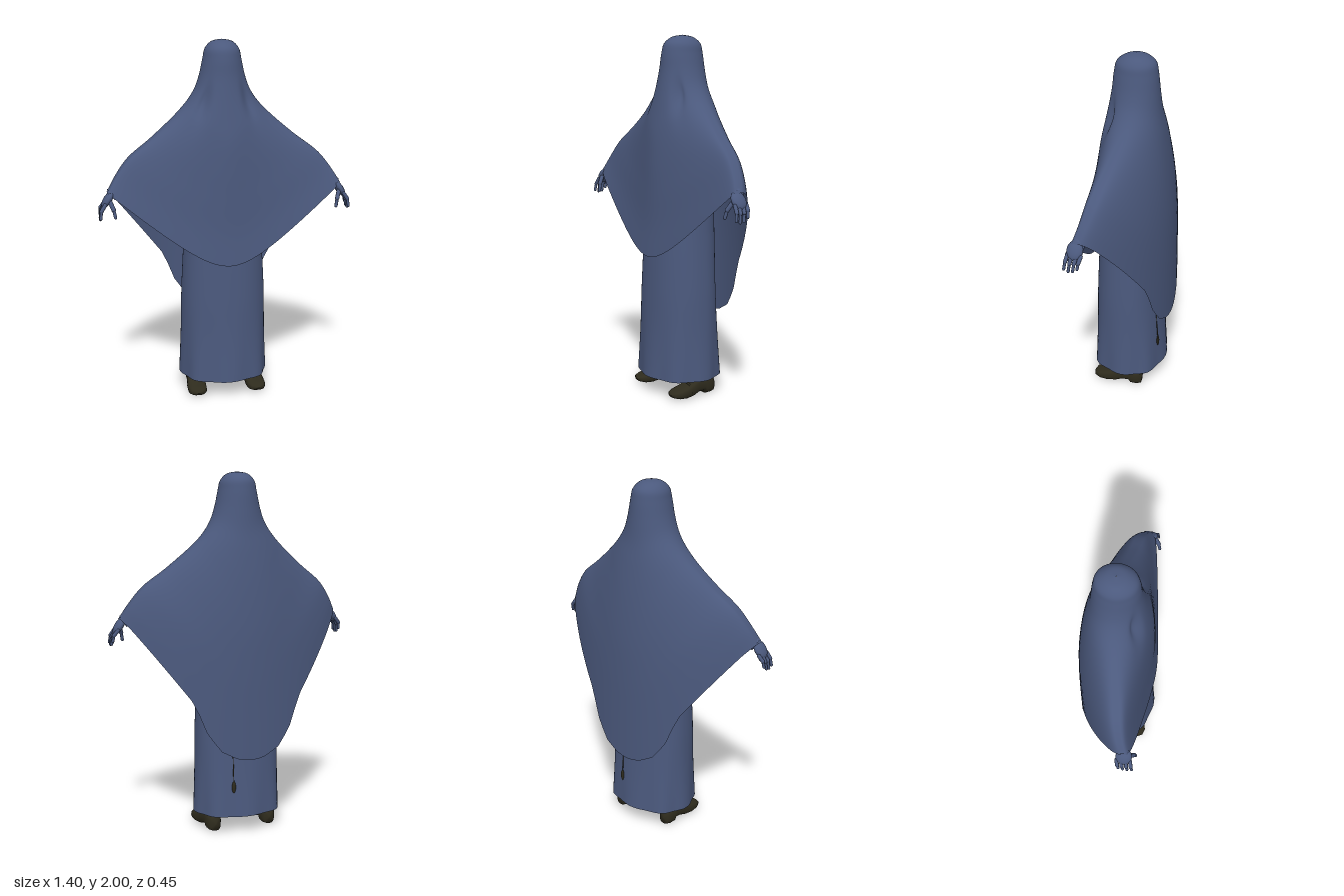
import * as THREE from 'three';

const V = (x, y, z) => new THREE.Vector3(x, y, z);
const spow = (v, e) => Math.sign(v) * Math.abs(v) ** e;
const { lerp, smoothstep } = THREE.MathUtils;

// Skin over closed rings of points, smooth normals
function loft(rows) {
  const n = rows[0].length, pos = [], idx = [];
  rows.forEach(r => r.forEach(p => pos.push(p.x, p.y, p.z)));
  for (let i = 0; i < rows.length - 1; i++) {
    for (let j = 0; j < n; j++) {
      const k = (j + 1) % n, a = i * n + j, b = a + n, c = i * n + k, d = c + n;
      idx.push(a, b, c, c, b, d);
    }
  }
  const g = new THREE.BufferGeometry();
  g.setAttribute('position', new THREE.Float32BufferAttribute(pos, 3));
  g.setIndex(idx);
  g.computeVertexNormals();
  return g;
}

const ring = (n, f) => Array.from({ length: n }, (_, j) => f(j / n * Math.PI * 2));

// Smooth curve through three chosen columns of a table
function sampler(table, cols) {
  const c = new THREE.CatmullRomCurve3(table.map(r => V(...cols.map(k => r[k]))));
  return t => c.getPoint(t);
}

// Straight-line lookup in a list of [x, y] pairs
function lookup(list, x) {
  const i = Math.max(1, list.findIndex(p => p[0] >= x - 1e-6));
  const [a, b] = [list[i - 1], list[i]];
  return lerp(a[1], b[1], (x - a[0]) / (b[0] - a[0]));
}

// Shoulder ridge x, y, z | front centre y, z | back centre y, z
const CAPE = [
  [0.001, 2.0, -0.015, 2.0, -0.014, 2.0, -0.016],
  [0.058, 1.987, -0.015, 1.988, 0.045, 1.988, -0.075],
  [0.092, 1.95, -0.015, 1.955, 0.09, 1.955, -0.118],
  [0.104, 1.9, -0.015, 1.9, 0.105, 1.9, -0.13],
  [0.124, 1.81, -0.015, 1.81, 0.115, 1.8, -0.14],
  [0.149, 1.74, -0.015, 1.71, 0.132, 1.69, -0.152],
  [0.19, 1.675, -0.015, 1.6, 0.153, 1.56, -0.175],
  [0.255, 1.605, -0.01, 1.47, 0.177, 1.38, -0.2],
  [0.4, 1.48, 0.01, 1.31, 0.19, 1.14, -0.22],
  [0.53, 1.38, 0.03, 1.15, 0.196, 0.92, -0.225],
  [0.605, 1.285, 0.055, 0.97, 0.203, 0.68, -0.225],
  [0.65, 1.21, 0.08, 0.79, 0.22, 0.43, -0.225],
];

// Rise of the back hem from the centre to the wrist
const BACK_HEM = [[0, 0], [0.11, 0.01], [0.27, 0.08], [0.385, 0.22], [0.477, 0.42], [0.93, 0.93], [1, 1]];

function capeGeometry() {
  const ridge = sampler(CAPE, [0, 1, 2]), front = sampler(CAPE, [0, 3, 4]), back = sampler(CAPE, [0, 5, 6]);
  const rows = [];
  for (let i = 0; i <= 55; i++) {
    const t = i / 55, R = ridge(t), F = front(t), B = back(t), level = t * 11;
    const spread = smoothstep(level, 6, 9), hem = smoothstep(level, 8, 11);
    rows.push(ring(96, a => {
      const q = Math.abs(Math.sin(a)), c = Math.abs(Math.cos(a));
      const isFront = Math.cos(a) >= 0, C = isFront ? F : B;
      // rounded V from the centre up to the wrist
      let rise = (Math.hypot(q, 0.3) - 0.3) / (Math.hypot(1, 0.3) - 0.3);
      if (!isFront) rise = lerp(rise, lookup(BACK_HEM, q), hem);
      // round at the hood, drawn out flat between the hands
      const flat = isFront
        ? (1 - 0.58 * (Math.hypot(q, 0.15) - 0.15)) * c ** 0.3
        : 0.5 * c + 0.35 * (1 - q * q) + 0.15 * (1 - q * q * q * q) * (1 - q);
      let z = lerp(R.z, C.z, lerp(c, isFront ? flat : flat + 0.15 * q * (1 - q), spread));
      // folds where the hood meets the shoulders
      if (isFront) z -= 0.028 * Math.exp(-(((q - 0.68) / 0.13) ** 2) - ((level - 5.7) / 1.0) ** 2);
      return V(R.x * Math.sin(a), lerp(C.y, R.y, rise), z);
    }));
  }
  return loft(rows);
}

// Height, half width, front z, back z
const ROBE = [
  [1.6, 0.03, 0.0, -0.03], [1.55, 0.13, 0.08, -0.1], [1.4, 0.18, 0.13, -0.15], [1.1, 0.21, 0.165, -0.16],
  [0.9, 0.22, 0.185, -0.165], [0.6, 0.236, 0.2, -0.165], [0.35, 0.243, 0.21, -0.18], [0.1, 0.255, 0.227, -0.2],
];

function robeGeometry() {
  const body = sampler(ROBE, [0, 1, 2]), rear = sampler(ROBE, [0, 1, 3]);
  const rows = [];
  for (let i = 0; i <= 35; i++) {
    const p = body(i / 35), zb = rear(i / 35).z, y = p.x;
    const fold = 0.05 * Math.max(0, (0.6 - y) / 0.5) ** 1.5;
    rows.push(ring(72, a => {
      const s = spow(Math.sin(a), 0.9), c = spow(Math.cos(a), 0.9);
      const k = 1 - fold * (0.5 - 0.5 * Math.cos(8 * a));
      return V(p.y * s * k, y, (c > 0 ? p.z * c : -zb * c) * k);
    }));
  }
  return loft(rows);
}

// Along the foot: z, half width, bottom, top
const SHOE = [
  [-0.105, 0.0001, 0.04, 0.0402], [-0.1, 0.03, 0.004, 0.085], [-0.075, 0.042, 0.0, 0.1], [-0.04, 0.043, 0.0, 0.106],
  [-0.03, 0.042, 0.018, 0.107], [0.01, 0.044, 0.018, 0.103], [0.05, 0.05, 0.004, 0.088], [0.1, 0.054, 0.0, 0.068],
  [0.145, 0.052, 0.005, 0.056], [0.175, 0.038, 0.014, 0.048], [0.188, 0.0001, 0.03, 0.0302],
];

const shoeGeometry = () => loft(SHOE.map(([z, w, lo, hi]) => ring(20, a =>
  V(w * spow(Math.sin(a), 0.7), (lo + hi) / 2 + (hi - lo) / 2 * spow(Math.cos(a), 0.7), z))));

export function createModel() {
  const model = new THREE.Group();
  const cloth = new THREE.MeshStandardMaterial({ color: 0x4b597d, side: THREE.DoubleSide });
  cloth.name = 'blueCloth';
  const leather = new THREE.MeshStandardMaterial({ color: 0x2e2b1d });
  leather.name = 'darkLeather';

  const add = (name, geo, mat, parent = model) => {
    const m = new THREE.Mesh(geo, mat);
    m.name = name;
    parent.add(m);
    return m;
  };
  // Rounded rod between two points
  const rod = (name, a, b, r, mat, parent) => {
    const d = b.clone().sub(a);
    const m = add(name, new THREE.CapsuleGeometry(r, d.length(), 4, 10), mat, parent);
    m.position.copy(a).lerp(b, 0.5);
    m.quaternion.setFromUnitVectors(V(0, 1, 0), d.normalize());
  };

  add('cape', capeGeometry(), cloth);
  add('robe', robeGeometry(), cloth);

  for (const s of [1, -1]) {
    const side = s > 0 ? 'left' : 'right';

    // Arm under the cape, ending in a cuff
    const arm = new THREE.CatmullRomCurve3([V(s * 0.14, 1.45, 0), V(s * 0.4, 1.34, 0.045), V(s * 0.628, 1.195, 0.09)]);
    add(side + 'Sleeve', new THREE.TubeGeometry(arm, 16, 0.036, 14), cloth);

    // Gloved hand with drooping fingers
    const hand = new THREE.Group();
    hand.name = side + 'Hand';
    model.add(hand);
    const palm = add('palm', new THREE.SphereGeometry(1, 18, 12), cloth, hand);
    palm.scale.set(0.022, 0.052, 0.044);
    palm.position.set(s * 0.648, 1.172, 0.1);
    palm.rotation.z = s * 0.6;
    for (let i = 0; i < 4; i++) {
      const z = 0.135 - i * 0.024, drop = [0.01, 0, 0.004, 0.022][i];
      const knuckle = V(s * 0.664, 1.15, z), joint = V(s * 0.686, 1.112 + drop / 2, z + 0.006);
      rod('finger', knuckle, joint, 0.0105, cloth, hand);
      rod('fingertip', joint, V(s * 0.691, 1.068 + drop, z + 0.012), 0.008, cloth, hand);
    }
    rod('thumb', V(s * 0.64, 1.17, 0.125), V(s * 0.622, 1.125, 0.152), 0.012, cloth, hand);
    rod('thumbTip', V(s * 0.622, 1.125, 0.152), V(s * 0.614, 1.085, 0.16), 0.009, cloth, hand);

    // Shoe with a strap over the instep
    const foot = new THREE.Group();
    foot.name = side + 'Foot';
    foot.position.set(s * 0.168, 0, 0);
    foot.rotation.y = s * 0.03;
    model.add(foot);
    add('shoe', shoeGeometry(), leather, foot);
    const strap = add('strap', new THREE.TorusGeometry(0.047, 0.006, 8, 20, Math.PI), leather, foot);
    strap.scale.y = 1.1;
    strap.position.set(0, 0.03, 0.075);
    const ankle = add('ankle', new THREE.CylinderGeometry(0.036, 0.042, 0.06, 16), leather, foot);
    ankle.scale.z = 1.4;
    ankle.position.set(0, 0.115, -0.04);
  }

  // Thin cord and tassel on the back of the robe
  rod('backCord', V(0.085, 0.5, -0.158), V(0.085, 0.29, -0.175), 0.0025, leather);
  const tassel = add('backTassel', new THREE.SphereGeometry(1, 12, 8), leather);
  tassel.scale.set(0.012, 0.034, 0.008);
  tassel.position.set(0.085, 0.27, -0.175);

  return model;
}
